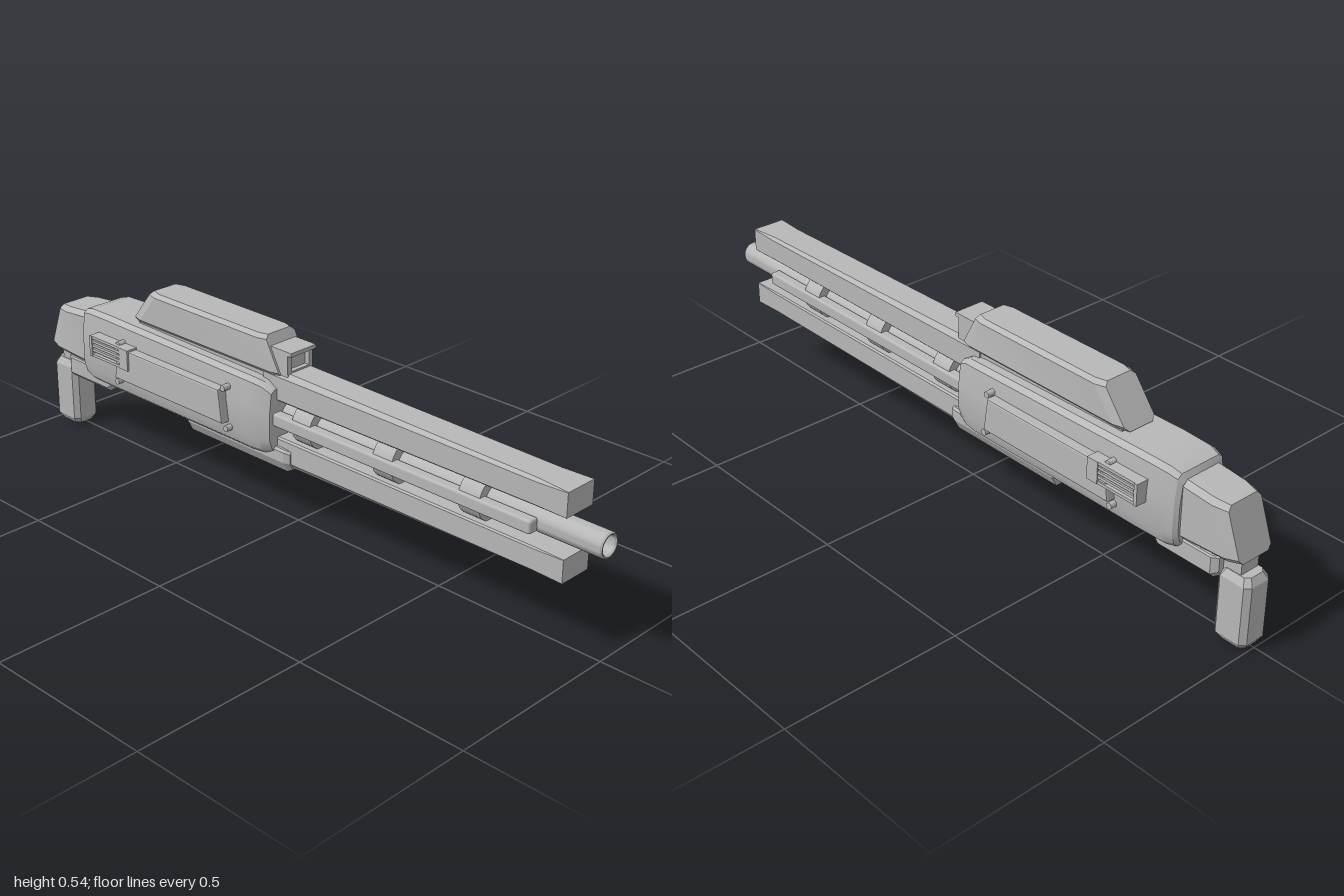
import * as THREE from 'three';
import { toCreasedNormals } from 'three/addons/utils/BufferGeometryUtils.js';
import { RoundedBoxGeometry } from 'three/addons/geometries/RoundedBoxGeometry.js';

// Half outline (top to bottom, +x side) of a box with chamfered corners
function outline(hw, y0, y1, top = 0.005, bottom = top) {
  const [tx, ty] = [].concat(top, top);
  const [bx, by] = [].concat(bottom, bottom);
  return [[hw - tx, y1], [hw, y1 - ty], [hw, y0 + by], [hw - bx, y0]];
}

// Joins sections [z, half outline, slope] from back to front; slope leans a section by its height
function loft(sections, crease = 0.35) {
  const rings = sections.map(([z, half, slope = 0]) => {
    const left = half.map(([x, y]) => [-x, y]);
    return [...left, ...half.slice().reverse()].map(([x, y]) => [x, y, z + slope * y]);
  });
  const n = rings[0].length;
  const pos = [];
  const tri = (a, b, c) => pos.push(...a, ...b, ...c);
  for (let k = 0; k < rings.length - 1; k++) {
    const a = rings[k], b = rings[k + 1];
    for (let i = 0; i < n; i++) {
      const j = (i + 1) % n;
      tri(a[i], a[j], b[j]);
      tri(a[i], b[j], b[i]);
    }
  }
  // rings run counter-clockwise seen from the front
  const first = rings[0], last = rings[rings.length - 1];
  for (let i = 1; i < n - 1; i++) {
    tri(first[0], first[i + 1], first[i]);
    tri(last[0], last[i], last[i + 1]);
  }
  const g = new THREE.BufferGeometry();
  g.setAttribute('position', new THREE.Float32BufferAttribute(pos, 3));
  return toCreasedNormals(g, crease);
}

export function createModel() {
  const model = new THREE.Group();
  model.name = 'longGun';
  const grey = new THREE.MeshStandardMaterial({ color: 0xb8b8b8 });
  grey.name = 'grey';

  const add = (name, geo, x = 0, y = 0, z = 0, parent = model) => {
    const m = new THREE.Mesh(geo, grey);
    m.name = name;
    m.position.set(x, y, z);
    parent.add(m);
    return m;
  };
  const box = (name, x0, x1, y0, y1, z0, z1, r = 0, parent = model) => {
    const s = [x1 - x0, y1 - y0, z1 - z0];
    const g = r ? new RoundedBoxGeometry(...s, 2, r) : new THREE.BoxGeometry(...s);
    return add(name, g, (x0 + x1) / 2, (y0 + y1) / 2, (z0 + z1) / 2, parent);
  };

  // Main body: one outline scaled along the length
  const bodyHalf = [[0.07, 0.423], [0.085, 0.412], [0.093, 0.34], [0.093, 0.25], [0.083, 0.218], [0.07, 0.206]];
  const body = (z, sx, top, bottom) => [z, bodyHalf.map(([x, y]) =>
    [x * sx, bottom + (y - 0.206) / 0.217 * (top - bottom)])];
  add('body', loft([
    body(-0.805, 0.8, 0.4, 0.222), body(-0.795, 0.9, 0.415, 0.212), body(-0.765, 0.97, 0.424, 0.206),
    body(-0.68, 1, 0.426, 0.206), body(-0.1, 1, 0.417, 0.206), body(-0.06, 0.95, 0.413, 0.208),
    body(-0.03, 0.84, 0.395, 0.218),
  ], 0.5));

  // Butt with a leaning rear face
  add('butt', loft([
    [-1.07, outline(0.056, 0.25, 0.388, 0.012), 0.36],
    [-1.03, outline(0.067, 0.243, 0.393, 0.014), 0.36],
    [-0.78, outline(0.068, 0.235, 0.403, 0.014)],
  ]));

  // Rear grip, lofted upwards
  const grip = (h, hw, a, b, c) => [h, outline(hw, a, b, c)];
  const gripGeo = loft([
    grip(0, 0.03, 0.912, 0.988, 0.012), grip(0.02, 0.043, 0.9, 1, 0.014),
    grip(0.185, 0.043, 0.9, 1, 0.014), grip(0.205, 0.032, 0.912, 0.988, 0.012),
  ]);
  gripGeo.rotateX(-Math.PI / 2);
  add('rearGrip', gripGeo);
  box('gripNeck', -0.03, 0.03, 0.19, 0.26, -0.965, -0.87);

  // Underside blocks
  add('rearUnderBlock', loft([
    [-0.912, outline(0.046, 0.18, 0.235, 0.004, 0.012)],
    [-0.895, outline(0.058, 0.17, 0.235, 0.004, 0.014)],
    [-0.73, outline(0.058, 0.17, 0.235, 0.004, 0.014)],
    [-0.705, outline(0.052, 0.19, 0.235, 0.004, 0.012)],
  ]));
  box('underStrip', -0.05, 0.05, 0.19, 0.23, -0.71, -0.47, 0.006);
  add('foregrip', loft([
    [-0.385, outline(0.052, 0.18, 0.232, 0.006, 0.014)],
    [-0.37, outline(0.063, 0.166, 0.232, 0.006, [0.016, 0.03])],
    [0.005, outline(0.063, 0.166, 0.232, 0.006, [0.016, 0.03])],
    [0.022, outline(0.055, 0.175, 0.228, 0.006, [0.012, 0.02])],
  ]));

  // Long rails above and below the barrel
  add('upperRail', loft([
    [-0.08, outline(0.05, 0.36, 0.447, [0.011, 0.016], 0.005)],
    [0.82, outline(0.05, 0.364, 0.434, [0.009, 0.007], 0.004)],
    [0.91, outline(0.05, 0.365, 0.432, 0.001, 0.001)],
  ]));
  add('lowerRail', loft([
    [-0.08, outline(0.05, 0.257, 0.176, [0.011, -0.016], [0.005, -0.005])].map((v, i) => i
      ? outline(0.05, 0.176, 0.257, 0.005, [0.011, 0.016]) : v),
    [0.82, outline(0.05, 0.19, 0.257, 0.004, [0.009, 0.007])],
    [0.91, outline(0.05, 0.193, 0.257, 0.001, 0.001)],
  ]));

  // Hollow barrel and its rings
  const profile = [[0, 0.85], [0.025, 0.85], [0.025, 0.995], [0.028, 1], [0.031, 1], [0.034, 0.995], [0.034, -0.1]]
    .map(([r, h]) => new THREE.Vector2(r, h)).reverse();
  const barrel = new THREE.LatheGeometry(profile, 32);
  barrel.rotateX(Math.PI / 2);
  add('barrel', toCreasedNormals(barrel, 0.5));
  for (const z of [0.065, 0.35, 0.63]) {
    const ring = new THREE.CylinderGeometry(0.06, 0.06, 0.065, 24);
    ring.rotateX(Math.PI / 2);
    add('barrelRing', ring, 0, 0.31, z);
  }
  model.children.find((m) => m.name === 'barrel').position.y = 0.31;

  // Sight housing with a hooded window
  const sight = (hw) => [[hw - 0.012, 0.535], [hw, 0.525], [hw, 0.442], [hw - 0.012, 0.43]];
  add('sightHousing', loft([
    [-0.941, sight(0.051), 0.78], [-0.91, sight(0.06), 0.78],
    [0.19, sight(0.06), -0.54], [0.217, sight(0.052), -0.54],
  ]));
  box('sightBase', -0.045, 0.045, 0.4, 0.445, -0.585, -0.05);
  box('sightHood', -0.046, 0.046, 0.497, 0.508, -0.06, 0.018);
  box('sightSill', -0.046, 0.046, 0.437, 0.451, -0.06, 0.006);
  for (const s of [-1, 1]) box('sightPost', s * 0.039 - 0.007, s * 0.039 + 0.007, 0.445, 0.5, -0.06, 0.006);
  box('sightWindow', -0.035, 0.035, 0.445, 0.5, -0.06, -0.008);

  // Matching details on both sides
  for (const s of [-1, 1]) {
    const side = new THREE.Group();
    side.name = s > 0 ? 'leftSide' : 'rightSide';
    model.add(side);
    const part = (name, x0, x1, ...rest) =>
      box(name, Math.min(s * x0, s * x1), Math.max(s * x0, s * x1), ...rest, side);

    part('sideRod', 0.033, 0.065, 0.292, 0.329, -0.06, 0.82, 0.007);

    // Panel with slanted ends
    const shape = new THREE.Shape([[-0.185, 0.366], [-0.172, 0.27], [-0.615, 0.27], [-0.602, 0.366]]
      .map(([z, y]) => new THREE.Vector2(-z, y)));
    const panel = new THREE.ExtrudeGeometry(shape, {
      depth: 0.022, bevelEnabled: true, bevelThickness: 0.005, bevelSize: 0.005, bevelOffset: -0.005, bevelSegments: 2,
    });
    panel.rotateY(Math.PI / 2);
    add('sidePanel', panel, s > 0 ? 0.092 : -0.114, 0, 0, side);

    // Vent frame and slats
    part('ventBack', 0.085, 0.112, 0.31, 0.372, -0.715, -0.55, 0);
    part('ventFront', 0.1, 0.125, 0.31, 0.372, -0.585, -0.55, 0);
    part('ventEnd', 0.1, 0.125, 0.31, 0.372, -0.715, -0.705, 0);
    for (const y of [0.31, 0.326, 0.339, 0.352, 0.364]) part('ventSlat', 0.1, 0.123, y, y + 0.008, -0.71, -0.58, 0);

    // Bolts at the panel corners
    for (const [z, y] of [[-0.175, 0.371], [-0.165, 0.256], [-0.605, 0.371], [-0.615, 0.256]]) {
      const bolt = new THREE.CylinderGeometry(0.009, 0.009, 0.035, 12);
      bolt.rotateZ(Math.PI / 2);
      add('bolt', bolt, s * 0.094, y, z, side);
    }
  }
  return model;
}
